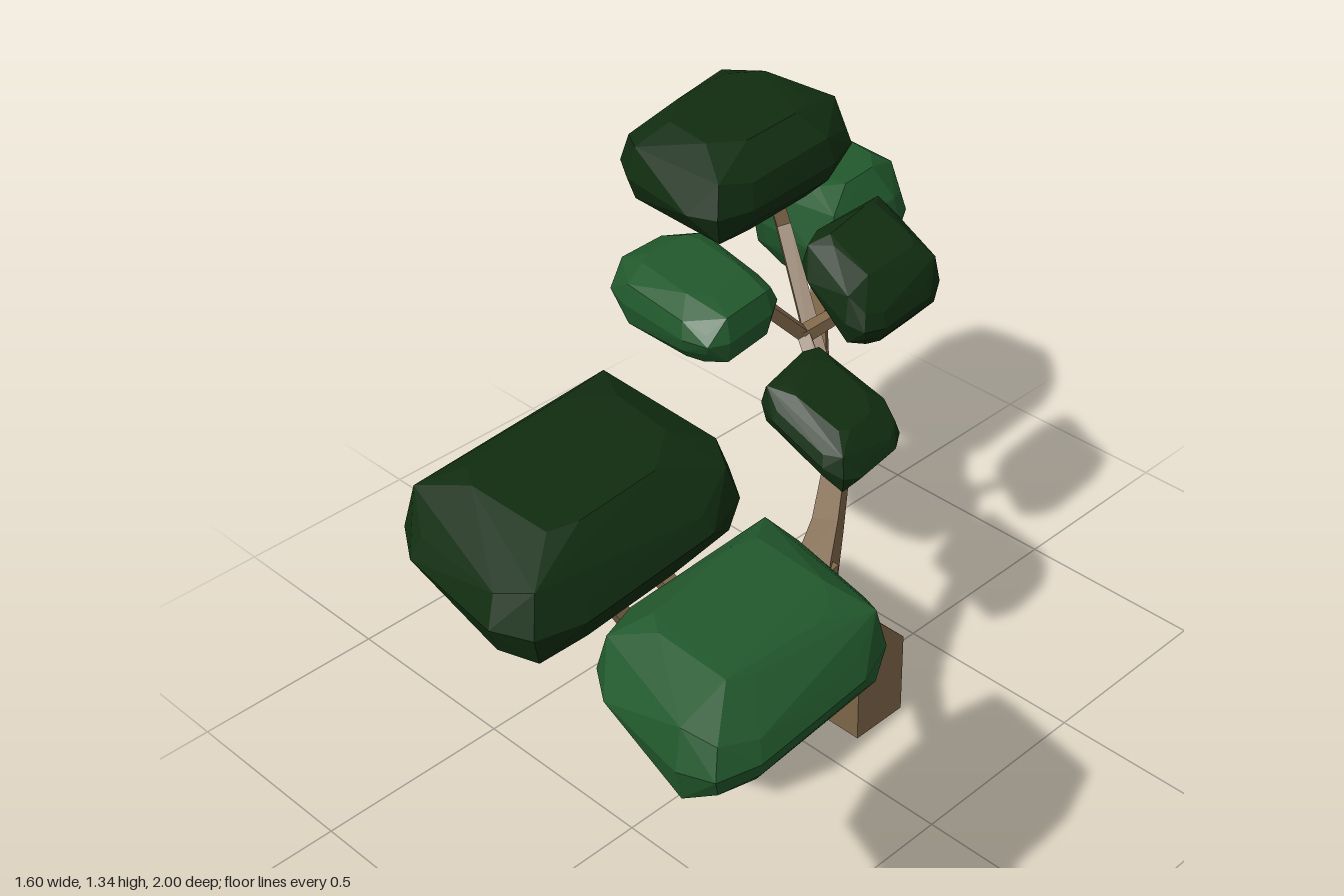
import * as THREE from 'three';
import { ConvexGeometry } from 'three/addons/geometries/ConvexGeometry.js';

const material = (color) => new THREE.MeshStandardMaterial({ color, flatShading: true, roughness: 1 });
const V = (x, y, z) => new THREE.Vector3(x, y, z);

// Closed loft through four-cornered rings, corners counter-clockwise about the path
function loft(rings) {
  const pos = [];
  const quad = (a, b, c, d) => [a, b, c, a, c, d].forEach((p) => pos.push(p.x, p.y, p.z));
  for (let i = 0; i < rings.length - 1; i++) {
    for (let k = 0; k < 4; k++) {
      const n = (k + 1) % 4;
      quad(rings[i][k], rings[i][n], rings[i + 1][n], rings[i + 1][k]);
    }
  }
  const s = rings[0], e = rings[rings.length - 1];
  quad(s[3], s[2], s[1], s[0]);
  quad(e[0], e[1], e[2], e[3]);
  const geometry = new THREE.BufferGeometry();
  geometry.setAttribute('position', new THREE.Float32BufferAttribute(pos, 3));
  geometry.computeVertexNormals();
  return geometry;
}

// Square limb through the given points, tapering from one half width to another
function limb(startWidth, endWidth, ...points) {
  const last = points.length - 1;
  let side = null;
  return loft(points.map((p, i) => {
    const before = p.clone().sub(points[Math.max(i - 1, 0)]).normalize();
    const after = points[Math.min(i + 1, last)].clone().sub(p).normalize();
    const t = before.add(after).normalize();
    if (!side) side = t.clone().cross(V(0, Math.abs(t.y) > 0.95 ? 0 : 1, 0.2));
    side.addScaledVector(t, -side.dot(t)).normalize();
    const bin = t.clone().cross(side);
    const w = THREE.MathUtils.lerp(startWidth, endWidth, Math.sqrt(i / last));
    return [[1, 1], [-1, 1], [-1, -1], [1, -1]].map(([a, b]) =>
      p.clone().addScaledVector(side, a * w).addScaledVector(bin, b * w));
  }));
}

// Faceted leaf pad: a slightly turned, rounded rectangle scaled through stacked levels
function pad(x, z, halfX, halfZ, low, mid, high, slope = 0) {
  const levels = [[0.7, low, 0], [0.93, (low + mid) / 2, 0.12], [1, mid, 0],
    [0.92, (mid + high) / 2, 0.12], [0.6, high, 0.08]];
  const round = (c) => Math.sign(c) * Math.sqrt(Math.abs(c));
  const pts = [];
  levels.forEach(([scale, y, wobble], l) => {
    for (let i = 0; i < 12; i++) {
      const a = ((i + 0.5) / 6) * Math.PI;
      const u = round(Math.cos(a)), v = round(Math.sin(a));
      const dx = (halfX * scale * (u + 0.1 * v)) / 1.034;
      const dz = (halfZ * scale * (v + 0.1 * u)) / 1.034;
      const dy = Math.sin(i * 2.3 + l * 1.7 + x * 9) * wobble * (high - low);
      pts.push(V(x + dx, THREE.MathUtils.clamp(y + dy, low, high) + slope * dx, z + dz));
    }
  });
  return new ConvexGeometry(pts);
}

// Trunk ring from its x range and the depth and height of its front and back edges
const trunkRing = (x0, x1, zFront, yFront, zBack, yBack) =>
  [V(x1, yFront, zFront), V(x1, yBack, zBack), V(x0, yBack, zBack), V(x0, yFront, zFront)];

export function createModel() {
  const model = new THREE.Group();
  model.name = 'tree';
  const bark = material(0x7d6548), darkLeaf = material(0x112d11), lightLeaf = material(0x22592d);
  const add = (name, mat, geometry) => {
    const mesh = new THREE.Mesh(geometry, mat);
    mesh.name = name;
    model.add(mesh);
  };

  // Forks where twigs leave the branches
  const crown = V(0.12, 0.53, 0.01);
  const frontFork = V(0.1, 0.655, 0.38);
  const leftFork = V(0.38, 0.72, 0.35);
  const backFork = V(-0.03, 0.68, -0.23);
  const outerFork = V(-0.29, 0.74, -0.44);
  const middleFork = V(-0.24, 0.89, -0.33);

  // Leaning trunk
  add('trunk', bark, loft([
    trunkRing(0.01, 0.17, -0.1, 0, -0.26, 0),
    trunkRing(0.01, 0.17, -0.1, 0.175, -0.26, 0.23),
    trunkRing(0.085, 0.165, 0.045, 0.45, -0.02, 0.485),
    trunkRing(0.08, 0.16, 0.05, 0.56, -0.03, 0.575),
  ]));

  // Front branches
  add('frontBranch', bark, limb(0.045, 0.016, crown, V(0.1, 0.6, 0.2), frontFork,
    V(0.17, 0.71, 0.58), V(0.13, 0.86, 0.65)));
  add('frontTwig', bark, limb(0.02, 0.015, frontFork, V(-0.01, 0.74, 0.41), V(-0.02, 0.86, 0.44)));
  add('frontLeftBranch', bark, limb(0.042, 0.015, crown, V(0.21, 0.56, 0.12),
    V(0.35, 0.64, 0.3), leftFork, V(0.45, 0.92, 0.49)));
  add('frontLeftTwig', bark, limb(0.019, 0.014, leftFork, V(0.47, 0.86, 0.5), V(0.51, 0.91, 0.53)));

  // Back branches
  add('backBranch', bark, limb(0.045, 0.015, crown, V(0.06, 0.6, -0.1), backFork, outerFork,
    V(-0.49, 0.75, -0.65), V(-0.58, 0.81, -0.75)));
  add('topBranch', bark, limb(0.022, 0.016, outerFork, V(-0.52, 0.99, -0.55), V(-0.56, 1.17, -0.52)));
  add('middleBranch', bark, limb(0.022, 0.015, backFork, V(-0.09, 0.76, -0.27), middleFork,
    V(-0.27, 1.03, -0.2)));
  add('upperBackTwig', bark, limb(0.017, 0.014, middleFork, V(-0.2, 0.93, -0.4), V(-0.17, 1, -0.45)));
  add('innerTwig', bark, limb(0.02, 0.015, backFork, V(-0.02, 0.76, -0.24), V(-0.01, 0.86, -0.22)));

  // Leaf pads
  add('frontLeafPad', darkLeaf, pad(-0.03, 0.59, 0.295, 0.38, 0.835, 0.96, 1.1));
  add('frontLeftLeafPad', lightLeaf, pad(0.57, 0.69, 0.23, 0.31, 0.855, 0.975, 1.1, -0.06));
  add('topLeafPad', darkLeaf, pad(-0.565, -0.435, 0.235, 0.305, 1.12, 1.22, 1.34));
  add('backLeafPad', lightLeaf, pad(-0.605, -0.81, 0.195, 0.19, 0.76, 0.895, 1.04));
  add('middleLeafPad', lightLeaf, pad(-0.365, -0.09, 0.215, 0.16, 0.975, 1.055, 1.13));
  add('upperBackLeafPad', darkLeaf, pad(-0.15, -0.467, 0.14, 0.178, 0.96, 1.04, 1.13, -0.35));
  add('innerLeafPad', darkLeaf, pad(0.013, -0.155, 0.172, 0.135, 0.79, 0.855, 0.92, -0.25));
  return model;
}
